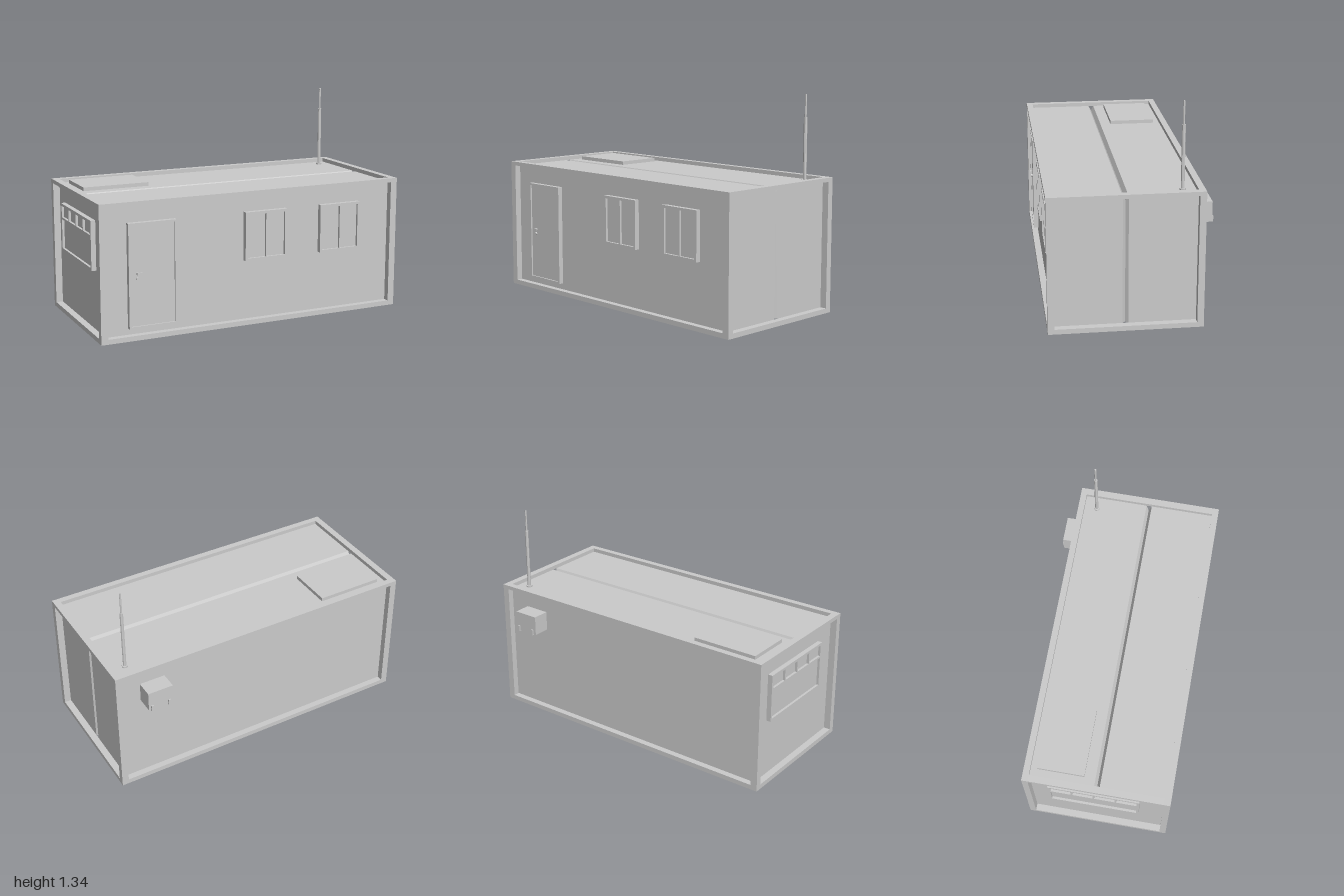
import * as THREE from 'three';
import { ConvexGeometry } from 'three/addons/geometries/ConvexGeometry.js';

const material = new THREE.MeshStandardMaterial({ color: 0xcccccc, flatShading: true });

// Outer frame limits and the inset panel limits
const OUT = { x0: -1, x1: 1, y0: 0, y1: 0.835, z0: -0.415, z1: 0.495 };
const IN = { x0: -0.957, x1: 0.957, y0: 0.03, y1: 0.81, z0: -0.376, z1: 0.455 };

function add(parent, name, geometry) {
  const mesh = new THREE.Mesh(geometry, material);
  mesh.name = name;
  parent.add(mesh);
  return mesh;
}

// Box given by its limits on each axis
function box(parent, name, x0, x1, y0, y1, z0, z1) {
  const mesh = add(parent, name, new THREE.BoxGeometry(x1 - x0, y1 - y0, z1 - z0));
  mesh.position.set((x0 + x1) / 2, (y0 + y1) / 2, (z0 + z1) / 2);
  return mesh;
}

function rod(parent, name, radius, y0, y1, sides) {
  const mesh = add(parent, name, new THREE.CylinderGeometry(radius, radius, y1 - y0, sides));
  mesh.position.y = (y0 + y1) / 2;
  return mesh;
}

function rectangle(Type, [x0, x1, y0, y1]) {
  const points = [[x0, y0], [x1, y0], [x1, y1], [x0, y1]];
  return new Type(points.map(([x, y]) => new THREE.Vector2(x, y)));
}

// Raised surround with openings, each filled by a recessed pane
function framedOpening(parent, name, outline, openings, paneDepth) {
  const group = new THREE.Group();
  group.name = name;
  parent.add(group);
  const shape = rectangle(THREE.Shape, outline);
  shape.holes = openings.map((o) => rectangle(THREE.Path, o));
  add(group, name + 'Surround', new THREE.ExtrudeGeometry(shape, { depth: 0.03, bevelEnabled: false }));
  for (const [x0, x1, y0, y1] of openings) box(group, name + 'Pane', x0, x1, y0, y1, 0, paneDepth);
  return group;
}

function addFrame(parent) {
  const frame = new THREE.Group();
  frame.name = 'frame';
  parent.add(frame);
  // Corner posts and end rails
  for (const [xa, xb] of [[OUT.x0, IN.x0], [IN.x1, OUT.x1]]) {
    for (const [za, zb] of [[OUT.z0, IN.z0], [IN.z1, OUT.z1]]) {
      box(frame, 'cornerPost', xa, xb, IN.y0, IN.y1, za, zb);
    }
    box(frame, 'topEndRail', xa, xb, IN.y1, OUT.y1, IN.z0, IN.z1);
    box(frame, 'bottomEndRail', xa, xb, OUT.y0, IN.y0, IN.z0, IN.z1);
  }
  // Long rails
  for (const [za, zb] of [[OUT.z0, IN.z0], [IN.z1, OUT.z1]]) {
    box(frame, 'topLongRail', OUT.x0, OUT.x1, IN.y1, OUT.y1, za, zb);
    box(frame, 'bottomLongRail', OUT.x0, OUT.x1, OUT.y0, IN.y0, za, zb);
  }
}

// Half of the cabin, bevelled along the roof and left-end seam
function addCabinHalf(parent, name, seam, bevelZ, outerZ) {
  const points = [];
  for (const [z, x1, y1] of [[seam, IN.x1 - 0.017, IN.y1 - 0.03], [bevelZ, IN.x1, IN.y1], [outerZ, IN.x1, IN.y1]]) {
    for (const x of [IN.x0, x1]) for (const y of [IN.y0, y1]) points.push(new THREE.Vector3(x, y, z));
  }
  add(parent, name, new ConvexGeometry(points));
}

export function createModel() {
  const model = new THREE.Group();
  model.name = 'cabin';
  addFrame(model);
  addCabinHalf(model, 'frontHalf', 0.04, 0.057, IN.z1);
  addCabinHalf(model, 'backHalf', 0.04, 0.023, IN.z0);

  // Door with handle and lock
  const door = framedOpening(model, 'door', [-0.82, -0.515, 0.07, 0.705], [[-0.807, -0.528, 0.082, 0.693]], 0.02);
  door.position.z = IN.z1;
  box(door, 'handleStem', -0.77, -0.76, 0.395, 0.408, 0.02, 0.036);
  box(door, 'handleLever', -0.77, -0.738, 0.398, 0.407, 0.031, 0.039);
  const lock = rod(door, 'lock', 0.009, -0.006, 0.006, 10);
  lock.rotation.x = Math.PI / 2;
  lock.position.set(-0.764, 0.372, 0.025);

  // Two front windows with paired panes
  for (const x of [0.077, 0.594]) {
    const win = framedOpening(model, 'frontWindow', [-0.142, 0.142, 0.4, 0.703],
      [[-0.126, -0.004, 0.416, 0.687], [0.004, 0.126, 0.416, 0.687]], 0.015);
    win.position.set(x, 0, IN.z1);
  }

  // Wide end window with a row of four top lights
  const lights = [[-0.25, 0.29, 0.416, 0.602]];
  for (let i = 0; i < 4; i++) {
    const x = -0.25 + i * 0.1375;
    lights.push([x, x + 0.1275, 0.615, 0.687]);
  }
  const endWindow = framedOpening(model, 'endWindow', [-0.266, 0.306, 0.4, 0.703], lights, 0.015);
  endWindow.rotation.y = -Math.PI / 2;
  endWindow.position.x = IN.x0;

  // Roof hatch
  box(model, 'roofHatch', -0.908, -0.482, IN.y1, 0.833, -0.335, -0.045);

  // Wall unit on two brackets
  box(model, 'wallUnit', 0.665, 0.828, 0.587, 0.71, -0.484, IN.z0);
  for (const x of [0.693, 0.806]) {
    box(model, 'bracketArm', x - 0.007, x + 0.007, 0.58, 0.587, -0.493, IN.z0);
    box(model, 'bracketLip', x - 0.007, x + 0.007, 0.587, 0.617, -0.493, -0.484);
  }

  // Telescopic mast
  const mast = new THREE.Group();
  mast.name = 'mast';
  mast.position.set(0.881, 0, -0.296);
  model.add(mast);
  rod(mast, 'mastFoot', 0.019, IN.y1, 0.82, 8);
  rod(mast, 'mastLower', 0.011, 0.82, 1.198, 8);
  rod(mast, 'mastUpper', 0.006, 1.198, 1.335, 8);
  return model;
}
